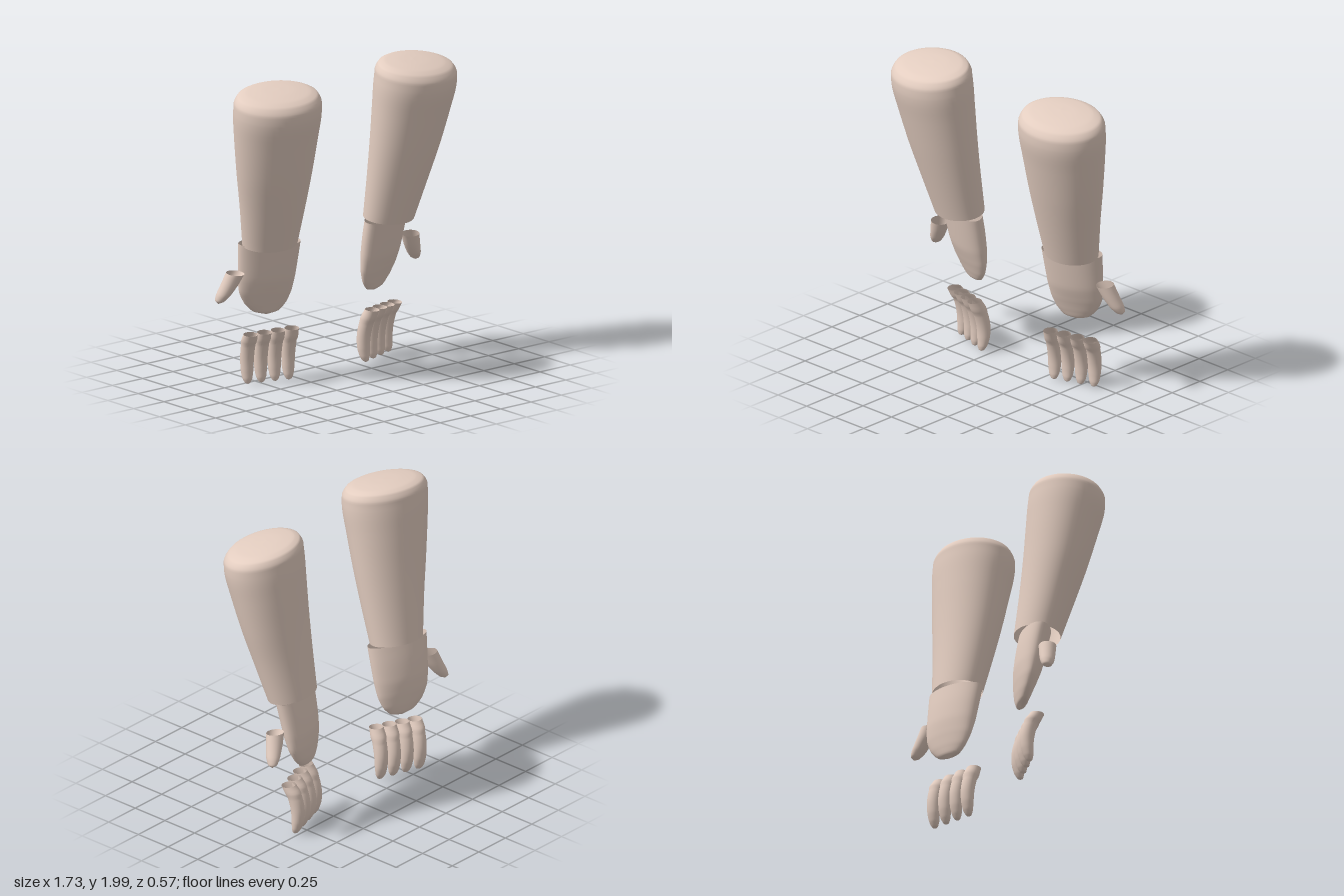
import * as THREE from 'three';

const skin = new THREE.MeshStandardMaterial({ color: 0xe3cdc0, side: THREE.DoubleSide });

// Skin a tube over elliptical sections [x, y, z, halfWidth, halfDepth].
// The first section is an open rim, the last one closes to a point.
// yaw turns the sections about y; slopeX / slopeZ tilt them. side = -1 mirrors.
function loft(name, sections, side, { yaw = 0, slopeX = 0, slopeZ = 0, radial = 32, steps = 5 } = {}) {
  const centres = new THREE.CatmullRomCurve3(sections.map(s => new THREE.Vector3(s[0], s[1], s[2])));
  const radii = new THREE.CatmullRomCurve3(sections.map(s => new THREE.Vector3(s[3], s[4], 0)));
  const rows = (sections.length - 1) * steps;
  const goesUp = sections[sections.length - 1][1] > sections[0][1];
  const outward = goesUp === (side > 0);
  const pos = [], index = [];
  for (let i = 0; i <= rows; i++) {
    const c = centres.getPoint(i / rows), r = radii.getPoint(i / rows);
    for (let j = 0; j < radial; j++) {
      const a = (j / radial) * Math.PI * 2;
      const u = Math.max(r.x, 0.0005) * Math.cos(a), v = Math.max(r.y, 0.0005) * Math.sin(a);
      const dx = u * Math.cos(yaw) + v * Math.sin(yaw);
      const dz = v * Math.cos(yaw) - u * Math.sin(yaw);
      pos.push(side * (c.x + dx), c.y + slopeX * dx + slopeZ * dz, c.z + dz);
      if (i === rows) continue;
      const k = (j + 1) % radial;
      const p = i * radial + j, q = i * radial + k, pu = p + radial, qu = q + radial;
      if (outward) index.push(p, pu, q, q, pu, qu);
      else index.push(p, q, pu, q, qu, pu);
    }
  }
  const geo = new THREE.BufferGeometry();
  geo.setAttribute('position', new THREE.Float32BufferAttribute(pos, 3));
  geo.setIndex(index);
  geo.computeVertexNormals();
  const mesh = new THREE.Mesh(geo, skin);
  mesh.name = name;
  return mesh;
}

function createArm(side, label) {
  const arm = new THREE.Group();
  arm.name = label + 'Arm';

  // Forearm: open at the wrist, rounded and sloping at the elbow
  arm.add(loft('forearm', [
    [0.49, 0.93, -0.117, 0.185, 0.14],
    [0.515, 1.2, -0.06, 0.222, 0.168],
    [0.537, 1.42, -0.018, 0.253, 0.192],
    [0.556, 1.65, 0.02, 0.279, 0.216],
    [0.568, 1.83, 0.048, 0.295, 0.232],
    [0.57, 1.9, 0.053, 0.293, 0.23],
    [0.568, 1.945, 0.052, 0.268, 0.206],
    [0.562, 1.965, 0.05, 0.215, 0.165],
    [0.556, 1.977, 0.048, 0.11, 0.085],
    [0.55, 1.981, 0.046, 0, 0],
  ], side, { yaw: 0.15, slopeX: -0.05, slopeZ: -0.15, radial: 48 }));

  // Palm: a flattened cup, open at the wrist
  arm.add(loft('palm', [
    [0.482, 0.935, -0.13, 0.21, 0.092],
    [0.475, 0.82, -0.152, 0.202, 0.09],
    [0.47, 0.7, -0.173, 0.193, 0.084],
    [0.465, 0.6, -0.19, 0.178, 0.066],
    [0.456, 0.52, -0.2, 0.142, 0.047],
    [0.448, 0.465, -0.204, 0.088, 0.03],
    [0.443, 0.44, -0.205, 0, 0],
  ], side, { yaw: 0.3, slopeZ: -0.12, radial: 40 }));

  // Thumb: short cone angled outward
  arm.add(loft('thumb', [
    [0.722, 0.762, -0.18, 0.06, 0.054],
    [0.752, 0.69, -0.2, 0.054, 0.051],
    [0.785, 0.625, -0.22, 0.044, 0.045],
    [0.806, 0.585, -0.234, 0.028, 0.03],
    [0.814, 0.566, -0.238, 0, 0],
  ], side, { slopeX: 0.06, slopeZ: -0.12, radial: 24 }));

  // Four fingers, from the little finger outward, each set further back
  ['littleFinger', 'ringFinger', 'middleFinger', 'indexFinger'].forEach((name, i) => {
    const x = 0.332 + i * 0.0875, z = -0.09 - i * 0.03, y = 0.355 - i * 0.005;
    arm.add(loft(name, [
      [x, y, z, 0.046, 0.045],
      [x - 0.013, 0.27, z - 0.037, 0.046, 0.045],
      [x - 0.02, 0.18, z - 0.058, 0.045, 0.043],
      [x - 0.021, 0.1, z - 0.06, 0.043, 0.038],
      [x - 0.018, 0.045, z - 0.053, 0.035, 0.029],
      [x - 0.016, 0.015, z - 0.047, 0.02, 0.016],
      [x - 0.015, 0.005, z - 0.045, 0, 0],
    ], side, { slopeX: -0.04, slopeZ: -0.08, radial: 24 }));
  });
  return arm;
}

export function createModel() {
  const model = new THREE.Group();
  model.name = 'armsAndHands';
  model.add(createArm(1, 'left'), createArm(-1, 'right'));
  return model;
}
